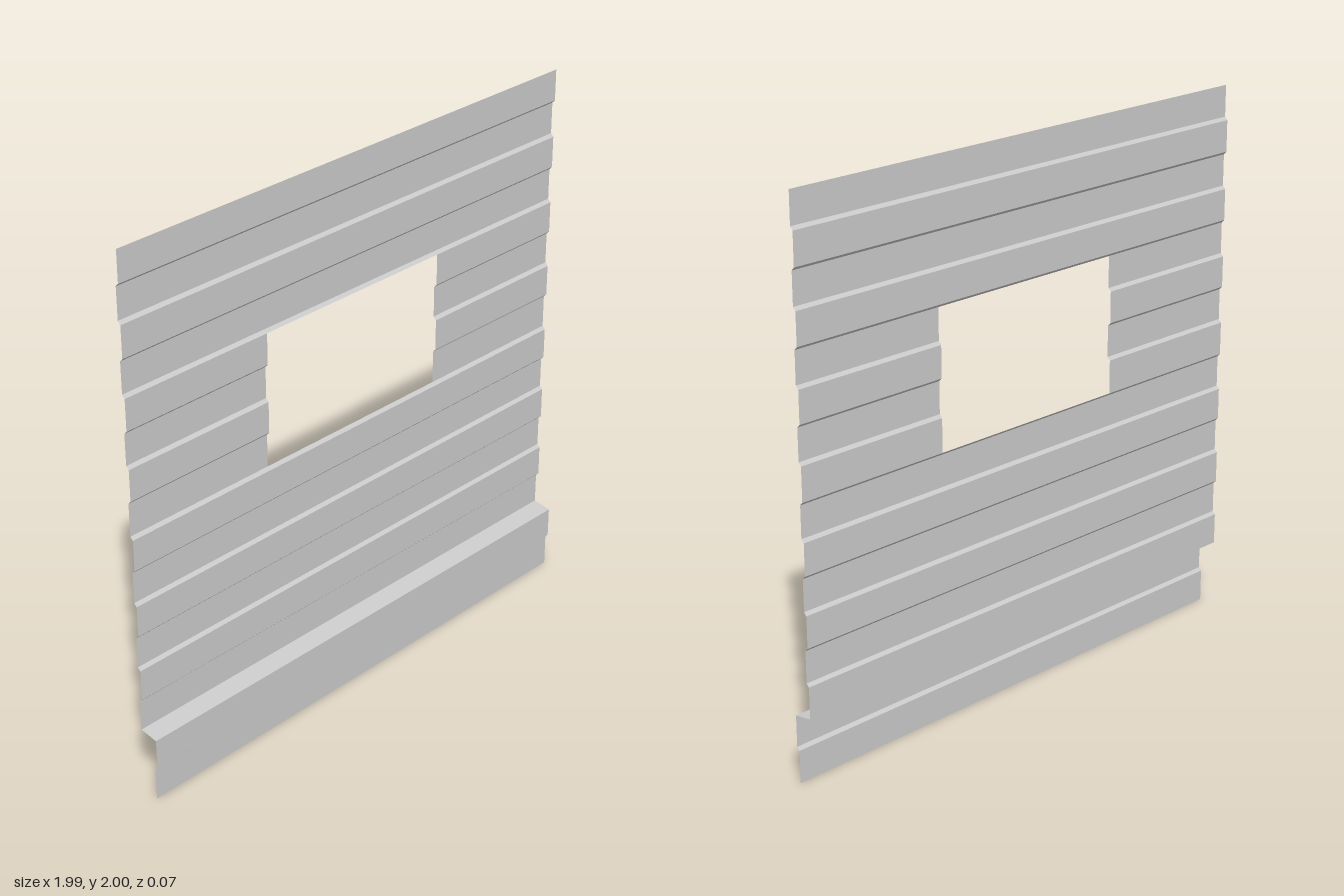
import * as THREE from 'three';

const HALF_WIDTH = 0.996, HOLE_HALF = 0.4;
const BANDS = 16, PITCH = 2 / BANDS, RISE = 0.0055;
const OUTER = 0.035, RIB = 0.0108;

// Band depth: ribs alternate back and forward; the lowest two bands jut out as a skirt
function bandDepth(i) {
  const forward = i % 2 === 1;
  if (i < 2) return forward ? OUTER : OUTER - RIB;
  return forward ? -OUTER + RIB : -OUTER;
}

// Side profile [y, z] from bottom to top; step k lies at points 2k - 1 and 2k
function makeProfile() {
  const points = [[0, bandDepth(0)]];
  for (let k = 1; k < BANDS; k++) {
    const y = k * PITCH + (k > BANDS / 2 ? 0.006 : -0.001);
    points.push([y - RISE, bandDepth(k - 1)], [y + RISE, bandDepth(k)]);
  }
  points.push([2, bandDepth(BANDS - 1)]);
  return points;
}

// Thin sheet following a profile between two x positions
function makeSheet(name, profile, x0, x1, material) {
  const rows = profile.length - 1;
  const plane = new THREE.PlaneGeometry(x1 - x0, 1, 1, rows);
  plane.translate((x0 + x1) / 2, 0, 0);
  const pos = plane.attributes.position;
  for (let i = 0; i < pos.count; i++) {
    const [y, z] = profile[rows - Math.floor(i / 2)];
    pos.setXYZ(i, pos.getX(i), y, z);
  }
  const geometry = plane.toNonIndexed();
  geometry.computeVertexNormals();
  const mesh = new THREE.Mesh(geometry, material);
  mesh.name = name;
  return mesh;
}

export function createModel() {
  const material = new THREE.MeshStandardMaterial({
    color: 0xcccccc, flatShading: true, side: THREE.DoubleSide,
  });
  const profile = makeProfile();
  const sill = 16, lintel = 23; // profile points at the window's bottom and top edges
  const below = profile.slice(0, sill + 1);
  const beside = profile.slice(sill, lintel + 1);
  const above = profile.slice(lintel);

  const wall = new THREE.Group();
  wall.name = 'corrugatedWindowWall';
  wall.add(
    makeSheet('lowerWall', below, -HALF_WIDTH, HALF_WIDTH, material),
    makeSheet('rightOfWindow', beside, -HALF_WIDTH, -HOLE_HALF, material),
    makeSheet('leftOfWindow', beside, HOLE_HALF, HALF_WIDTH, material),
    makeSheet('upperWall', above, -HALF_WIDTH, HALF_WIDTH, material),
  );
  return wall;
}
